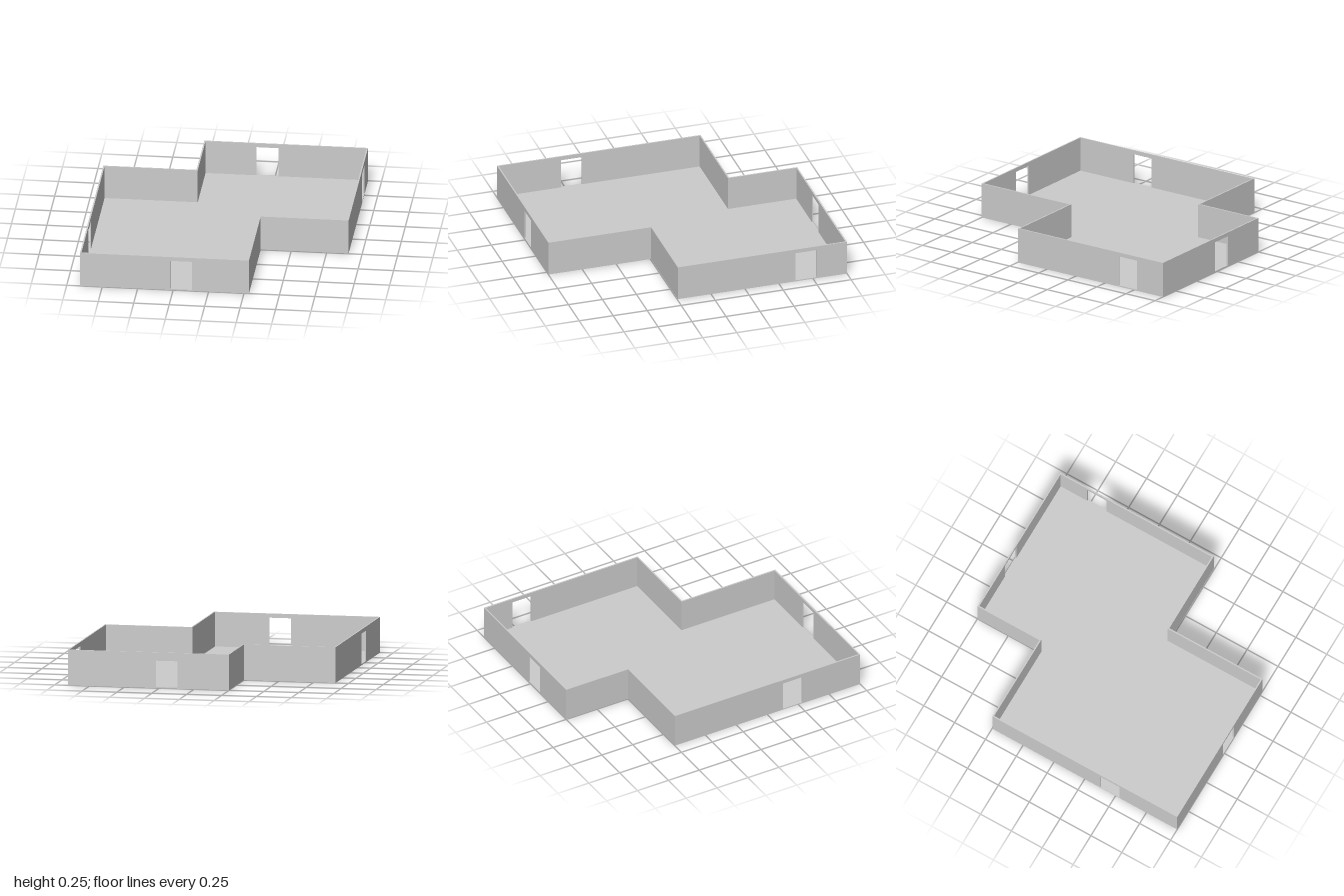
import * as THREE from 'three';

const T = 0.01;          // wall thickness
const FLOOR = 0.008;     // slab thickness
const TOP = 0.253;       // wall top
const DOOR_W = 0.155, DOOR_TOP = 0.224;

// Outline corners [x, z]; the door centre is measured along the wall that starts there.
const corners = [
  { name: 'frontWall', p: [0.285, 1], door: 0.478 },
  { name: 'rightWall', p: [-0.907, 1], door: 0.545 },
  { name: 'rightRecessBackWall', p: [-0.907, -0.498] },
  { name: 'rightRecessSideWall', p: [-0.25, -0.498], concave: true },
  { name: 'backWall', p: [-0.25, -1], door: 0.447 },
  { name: 'leftWall', p: [0.905, -1], door: 0.302 },
  { name: 'leftRecessFrontWall', p: [0.905, 0.245] },
  { name: 'leftRecessSideWall', p: [0.285, 0.245], concave: true },
];

// Wall panel running along local +x, thickness towards local +z (inside)
function wallGeometry(x0, x1, door) {
  const pts = [[x0, FLOOR]];
  if (door !== undefined) {
    const a = door - DOOR_W / 2, b = door + DOOR_W / 2;
    pts.push([a, FLOOR], [a, DOOR_TOP], [b, DOOR_TOP], [b, FLOOR]);
  }
  pts.push([x1, FLOOR], [x1, TOP], [x0, TOP]);
  const shape = new THREE.Shape(pts.map(([x, y]) => new THREE.Vector2(x, y)));
  return new THREE.ExtrudeGeometry(shape, { depth: T, bevelEnabled: false });
}

export function createModel() {
  const model = new THREE.Group();
  model.name = 'floorPlan';
  const material = new THREE.MeshStandardMaterial({ color: 0xcccccc, flatShading: true });

  // Floor slab
  const outline = new THREE.Shape(corners.map(({ p }) => new THREE.Vector2(p[0], -p[1])));
  const slab = new THREE.ExtrudeGeometry(outline, { depth: FLOOR, bevelEnabled: false });
  slab.rotateX(-Math.PI / 2);
  const floor = new THREE.Mesh(slab, material);
  floor.name = 'floor';
  model.add(floor);

  // Walls; those running along z are trimmed or extended to butt cleanly at corners
  corners.forEach((start, i) => {
    const end = corners[(i + 1) % corners.length];
    const dx = end.p[0] - start.p[0], dz = end.p[1] - start.p[1];
    const fit = Math.abs(dz) > Math.abs(dx) ? T : 0;
    const x0 = start.concave ? -fit : fit;
    const x1 = Math.hypot(dx, dz) - (end.concave ? -fit : fit);
    const wall = new THREE.Mesh(wallGeometry(x0, x1, start.door), material);
    wall.name = start.name;
    wall.position.set(start.p[0], 0, start.p[1]);
    wall.rotation.y = Math.atan2(-dz, dx);
    model.add(wall);
  });

  return model;
}
